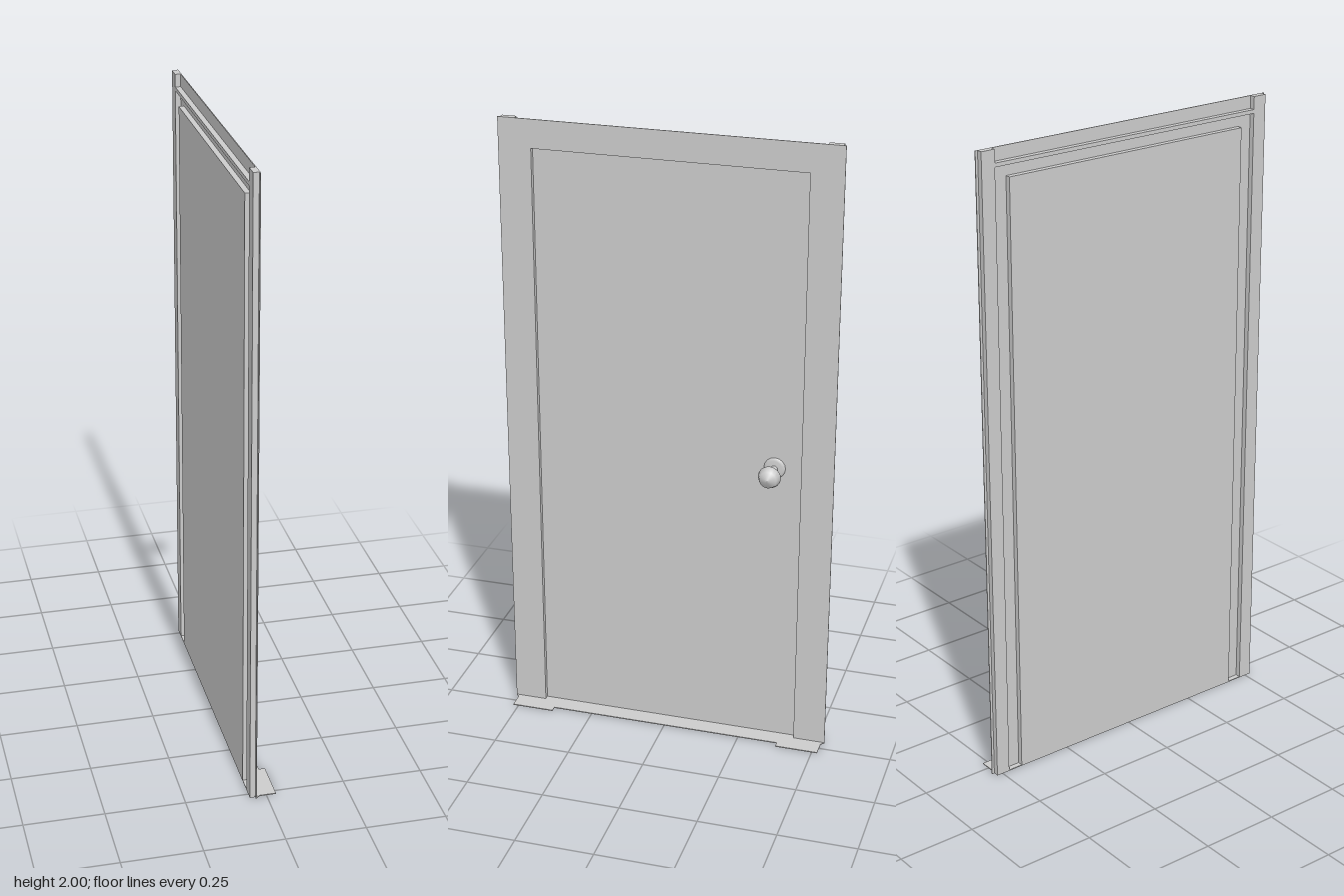
import * as THREE from 'three';

const W = 0.528, H = 2;          // frame half width and height
const DW = 0.425, DH = 1.91;     // opening half width and height
const FACE = -0.033, BACK = -0.053;

export function createModel() {
  const group = new THREE.Group();
  const mat = new THREE.MeshStandardMaterial({ color: 0xcccccc, side: THREE.DoubleSide });

  const add = (name, geo) => {
    const mesh = new THREE.Mesh(geo, mat);
    mesh.name = name;
    group.add(mesh);
    return mesh;
  };
  // box given by its two corners
  const block = (name, x0, x1, y0, y1, z0, z1) => {
    const m = add(name, new THREE.BoxGeometry(x1 - x0, y1 - y0, z1 - z0));
    m.position.set((x0 + x1) / 2, (y0 + y1) / 2, (z0 + z1) / 2);
  };
  const outline = pts => new THREE.Shape(pts.map(p => new THREE.Vector2(...p)));
  // upside-down U standing in the z-y plane, from x1 back to x0
  const arch = (name, x0, x1, ow, oh, iw, ih) => {
    const s = outline([[-ow, 0], [-iw, 0], [-iw, ih], [iw, ih], [iw, 0], [ow, 0], [ow, oh], [-ow, oh]]);
    const geo = new THREE.ExtrudeGeometry(s, { depth: x1 - x0, bevelEnabled: false });
    geo.rotateY(-Math.PI / 2).translate(x1, 0, 0);
    add(name, geo);
  };

  // casing face and the reveal running back to the door
  arch('casing', FACE - 0.003, FACE, W, H, DW, DH);
  arch('reveal', BACK, FACE - 0.003, DW + 0.002, DH + 0.002, DW, DH);

  // ribs behind the casing
  for (const s of [-1, 1]) {
    block('jamb', BACK, FACE - 0.003, 0, H, Math.min(s * 0.475, s * 0.52), Math.max(s * 0.475, s * 0.52));
  }
  block('headRib', BACK, FACE - 0.003, 1.948, 1.96, -0.475, 0.475);

  // recessed door leaf
  block('door', BACK, -0.049, 0, DH, -DW, DW);

  // thin threshold, wider in front of the jambs
  const half = [[0.01, 0.38], [0.03, 0.38], [0.03, 0.518], [-0.022, 0.518], [FACE, W], [FACE, 0.518], [BACK, 0.518]];
  const mirrored = half.map(([x, z]) => [x, -z]).reverse();
  const sill = new THREE.ExtrudeGeometry(outline([...half, ...mirrored]), { depth: 0.003, bevelEnabled: false });
  sill.rotateX(Math.PI / 2).translate(0, 0.003, 0);
  add('threshold', sill);

  // door knob with its round plate
  const lathe = (name, pts) => {
    const geo = new THREE.LatheGeometry(pts.map(p => new THREE.Vector2(...p)), 16);
    geo.rotateZ(-Math.PI / 2).translate(0, 0.955, -0.338);
    add(name, geo);
  };
  lathe('knobPlate', [[0.034, -0.05], [0.034, -0.045], [0.026, -0.04], [0, -0.04]]);
  lathe('knob', [[0.012, -0.045], [0.01, -0.035], [0.011, -0.024], [0.024, 0.004],
    [0.036, 0.02], [0.027, 0.043], [0, 0.053]]);

  return group;
}
